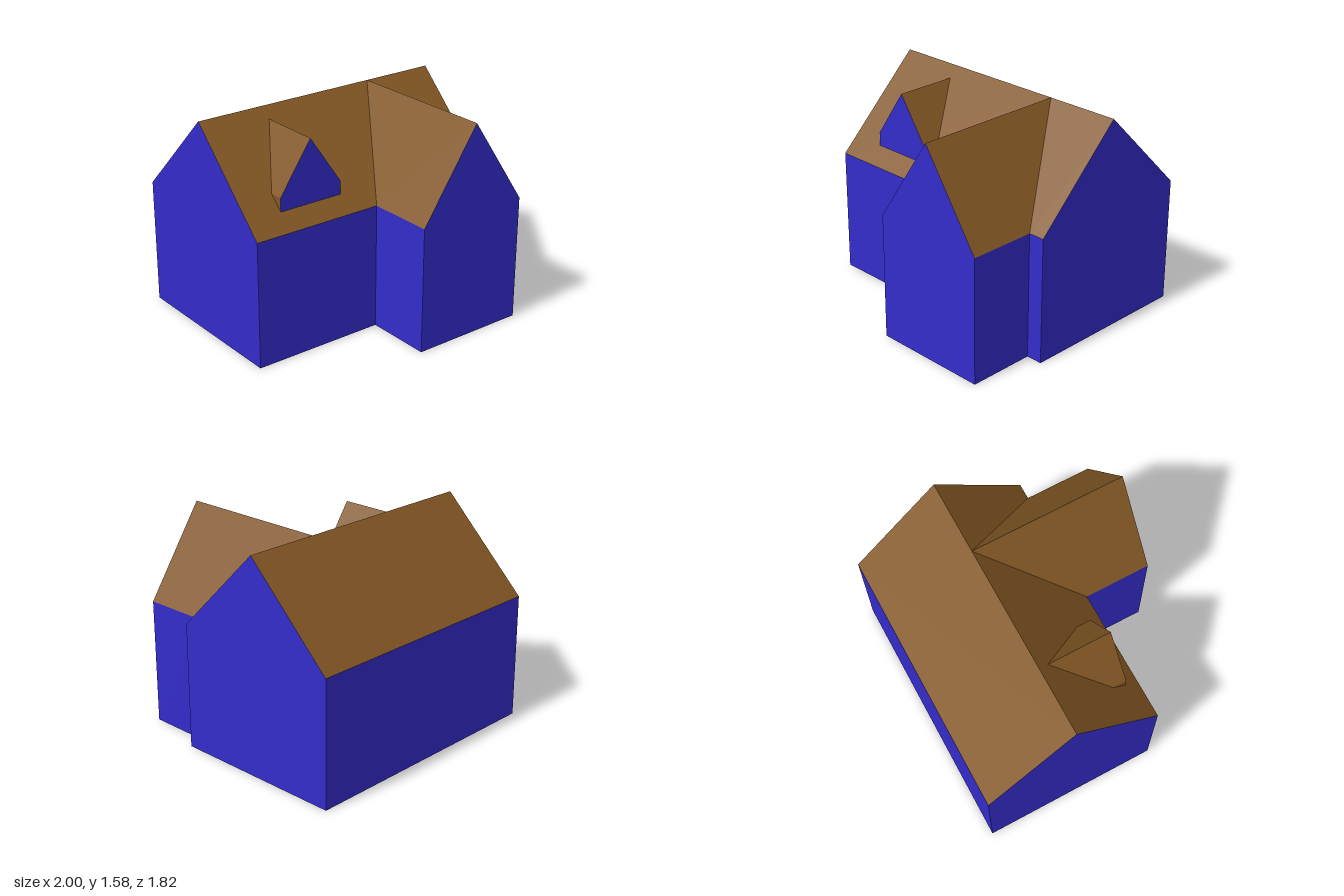
import * as THREE from 'three';

const EAVE = 0.93, PEAK = 1.58;
const BACK = -0.91, RIDGE = -0.25, FRONT = 0.41;

// z of the main front slope at height y (vertical wall below the eave)
const slopeZ = (y) => FRONT - Math.max(0, y - EAVE) * (FRONT - RIDGE) / (PEAK - EAVE);

// Flat convex faces, each a loop of corners, counter-clockwise from outside
function faces(name, material, loops) {
  const pos = [];
  for (const loop of loops) {
    const p = loop.map((c) => new THREE.Vector3(...c));
    for (let i = 1; i < p.length - 1; i++) {
      const tri = new THREE.Triangle(p[0], p[i], p[i + 1]);
      if (tri.getArea() < 1e-6) continue;
      for (const v of [p[0], p[i], p[i + 1]]) pos.push(v.x, v.y, v.z);
    }
  }
  const geo = new THREE.BufferGeometry();
  geo.setAttribute('position', new THREE.Float32BufferAttribute(pos, 3));
  geo.computeVertexNormals();
  const mesh = new THREE.Mesh(geo, material);
  mesh.name = name;
  return mesh;
}

// Front-facing gable that runs back into the main front slope
function gable(name, { x, half, base, eave, peak, z }, frontMat, cheekMat, roofMat) {
  const group = new THREE.Group();
  group.name = name;
  const cheeks = [], slopes = [];
  for (const s of [-1, 1]) {
    const e = x + s * half;
    const cheek = [[e, base, slopeZ(base)], [e, base, z], [e, eave, z], [e, eave, slopeZ(eave)]];
    const slope = [[e, eave, slopeZ(eave)], [e, eave, z], [x, peak, z], [x, peak, slopeZ(peak)]];
    cheeks.push(s < 0 ? cheek : cheek.reverse());
    slopes.push(s < 0 ? slope : slope.reverse());
  }
  const l = x - half, r = x + half;
  group.add(
    faces(name + 'Front', frontMat, [[[l, base, z], [r, base, z], [r, eave, z], [x, peak, z], [l, eave, z]]]),
    faces(name + 'Sides', cheekMat, cheeks),
    faces(name + 'Roof', roofMat, slopes),
  );
  return group;
}

export function createModel() {
  const wall = new THREE.MeshStandardMaterial({ color: 0x342cca, side: THREE.DoubleSide });
  wall.name = 'blue wall';
  const roof = new THREE.MeshStandardMaterial({ color: 0x845824, side: THREE.DoubleSide });
  roof.name = 'brown roof';

  const house = new THREE.Group();
  house.name = 'house';

  const wing = { x: 0.44, half: 0.44, base: 0, eave: EAVE, peak: PEAK, z: 0.91 };
  const wl = wing.x - wing.half, wr = wing.x + wing.half;

  // Main walls: back, two gable ends, and the front on both sides of the wing
  const end = [[1, 0, FRONT], [1, 0, BACK], [1, EAVE, BACK], [1, PEAK, RIDGE], [1, EAVE, FRONT]];
  const frontWall = (a, b) => [[a, 0, FRONT], [b, 0, FRONT], [b, EAVE, FRONT], [a, EAVE, FRONT]];
  house.add(faces('mainWalls', wall, [
    [[1, 0, BACK], [-1, 0, BACK], [-1, EAVE, BACK], [1, EAVE, BACK]],
    end,
    end.map(([, y, z]) => [-1, y, z]).reverse(),
    frontWall(-1, wl),
    frontWall(wr, 1),
  ]));

  // Main roof: whole back slope, front slope split by the wing
  house.add(faces('mainRoof', roof, [
    [[1, EAVE, BACK], [-1, EAVE, BACK], [-1, PEAK, RIDGE], [1, PEAK, RIDGE]],
    [[-1, EAVE, FRONT], [wl, EAVE, FRONT], [wing.x, PEAK, RIDGE], [-1, PEAK, RIDGE]],
    [[wr, EAVE, FRONT], [1, EAVE, FRONT], [1, PEAK, RIDGE], [wing.x, PEAK, RIDGE]],
  ]));

  // Underside in an L shape
  const floor = (x0, x1, z0, z1) => [[x0, 0, z0], [x1, 0, z0], [x1, 0, z1], [x0, 0, z1]];
  house.add(faces('floor', roof, [floor(-1, 1, BACK, FRONT), floor(wl, wr, FRONT, wing.z)]));

  // Front wing and small dormer
  house.add(gable('wing', wing, wall, wall, roof));
  const base = 1.04;
  house.add(gable('dormer', { x: -0.48, half: 0.25, base, eave: 1.14, peak: 1.505, z: slopeZ(base) }, wall, roof, roof));

  return house;
}
